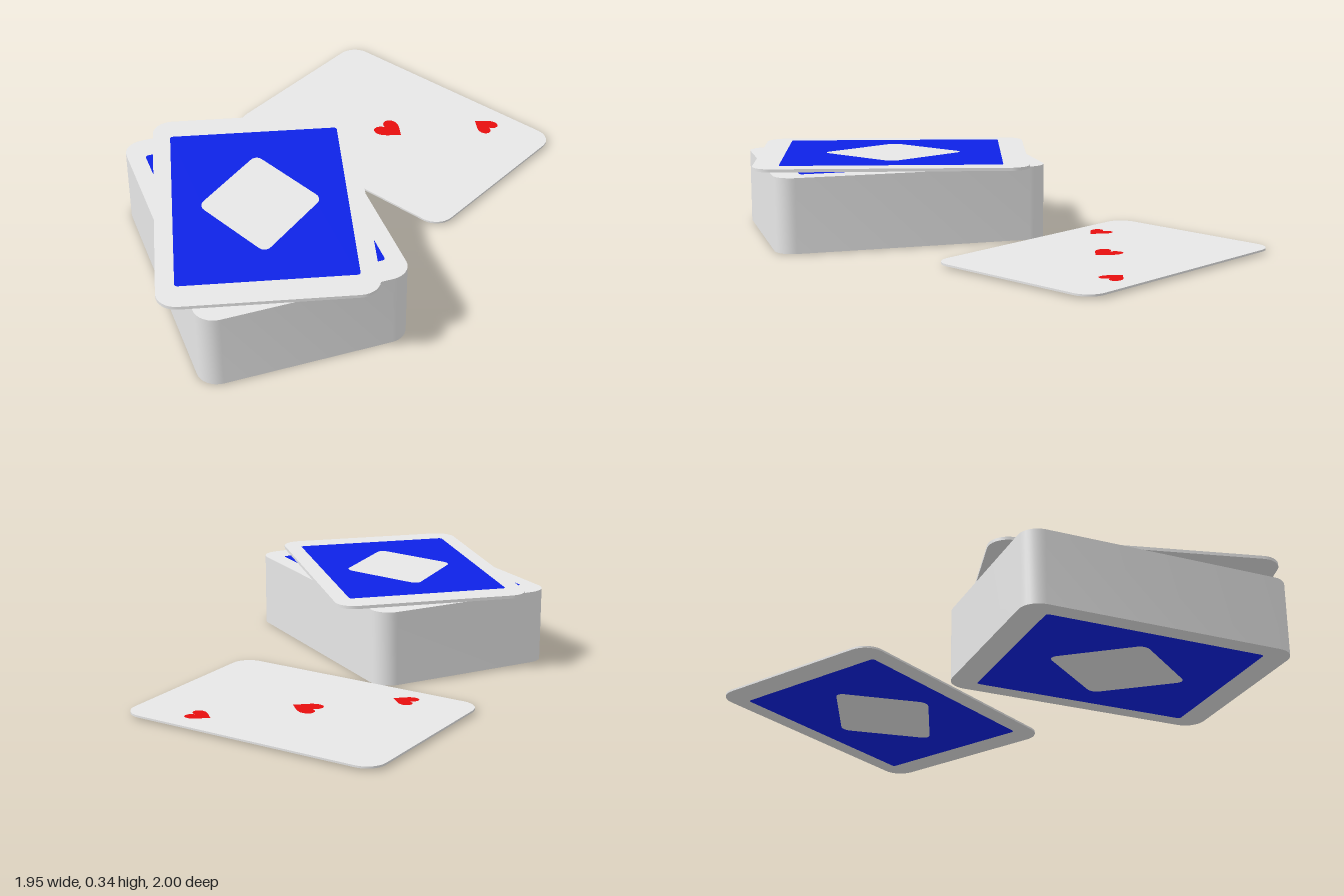
import * as THREE from 'three';
import { toCreasedNormals } from 'three/addons/utils/BufferGeometryUtils.js';

const CARD_W = 0.82, CARD_L = 1.15;
const LIFT = 0.002; // printed areas float this far off the paper

// Closed polygon with each corner softened by a radius-like inset
function roundedPolygon(points, inset, target = new THREE.Shape()) {
  const n = points.length;
  points.forEach(([x, y], i) => {
    const corner = new THREE.Vector2(x, y);
    const prev = new THREE.Vector2(...points[(i + n - 1) % n]);
    const next = new THREE.Vector2(...points[(i + 1) % n]);
    const a = corner.clone().add(prev.sub(corner).setLength(inset));
    const b = corner.clone().add(next.sub(corner).setLength(inset));
    if (i === 0) target.moveTo(a.x, a.y); else target.lineTo(a.x, a.y);
    // cubic handles approximate a circular arc at square corners
    const h1 = a.clone().lerp(corner, 0.55), h2 = b.clone().lerp(corner, 0.55);
    target.bezierCurveTo(h1.x, h1.y, h2.x, h2.y, b.x, b.y);
  });
  target.closePath();
  return target;
}

function rectangle(w, l, inset) {
  const x = w / 2, y = l / 2;
  return roundedPolygon([[-x, -y], [x, -y], [x, y], [-x, y]], inset);
}

function heartShape(w, h) {
  const s = new THREE.Shape();
  s.moveTo(0, -h * 0.5);
  s.bezierCurveTo(w * 0.2, -h * 0.25, w * 0.5, -h * 0.05, w * 0.5, h * 0.22);
  s.bezierCurveTo(w * 0.5, h * 0.58, w * 0.08, h * 0.6, 0, h * 0.25);
  s.bezierCurveTo(-w * 0.08, h * 0.6, -w * 0.5, h * 0.58, -w * 0.5, h * 0.22);
  s.bezierCurveTo(-w * 0.5, -h * 0.05, -w * 0.2, -h * 0.25, 0, -h * 0.5);
  return s;
}

export function createModel() {
  const paper = new THREE.MeshStandardMaterial({ color: 0xe7e7e7 });
  paper.name = 'paper white';
  const blue = new THREE.MeshStandardMaterial({ color: 0x0d22e7 });
  blue.name = 'back blue';
  const red = new THREE.MeshStandardMaterial({ color: 0xe70e0e });
  red.name = 'heart red';

  const mesh = (name, geometry, material, parent) => {
    const m = new THREE.Mesh(geometry, material);
    m.name = name;
    parent.add(m);
    return m;
  };

  // Rounded slab of paper lying flat between two heights
  const slab = (name, y0, y1, parent) => {
    const g = new THREE.ExtrudeGeometry(rectangle(CARD_W, CARD_L, 0.08),
      { depth: y1 - y0, bevelEnabled: false, curveSegments: 8 });
    g.rotateX(-Math.PI / 2);
    mesh(name, toCreasedNormals(g, 0.7), paper, parent).position.y = y0;
  };

  // Blue panel with a diamond cut out, facing up or down
  const backPanel = (name, y, up, parent) => {
    const shape = rectangle(0.68, 0.93, 0.012);
    shape.holes.push(roundedPolygon(
      [[0, 0.305], [0.24, 0], [0, -0.305], [-0.24, 0]], 0.035, new THREE.Path()));
    const g = new THREE.ShapeGeometry(shape, 6);
    g.rotateX(up ? -Math.PI / 2 : Math.PI / 2);
    mesh(name, g, blue, parent).position.y = y;
  };

  const place = (name, x, z, degrees) => {
    const g = new THREE.Group();
    g.name = name;
    g.position.set(x, 0, z);
    g.rotation.y = THREE.MathUtils.degToRad(degrees);
    return g;
  };

  const model = new THREE.Group();
  model.name = 'playingCards';

  // Stacked deck
  const deck = place('deck', -0.46, 0.36, 0);
  slab('deckBlock', LIFT, 0.315, deck);
  backPanel('deckTopPanel', 0.315 + LIFT, true, deck);
  backPanel('deckBottomPanel', 0, false, deck);

  // Turned card on top of the deck
  const topCard = place('topCard', -0.46, 0.36, -14);
  slab('topCardPaper', 0.32, 0.333, topCard);
  backPanel('topCardPanel', 0.333 + LIFT, true, topCard);

  // Loose card lying face up beside the deck
  const looseCard = place('looseCard', 0.36, -0.33, 30);
  slab('looseCardPaper', 0.009, 0.017, looseCard);
  backPanel('looseCardPanel', 0.009 - LIFT, false, looseCard);
  [
    ['cornerHeartBack', -0.29, -0.29, 0.1, 0],
    ['middleHeart', -0.01, -0.005, 0.12, 0],
    ['cornerHeartFront', 0.285, 0.29, 0.1, Math.PI],
  ].forEach(([name, x, z, size, turn]) => {
    const g = new THREE.ShapeGeometry(heartShape(size, size), 8);
    g.rotateX(-Math.PI / 2);
    const heart = mesh(name, g, red, looseCard);
    heart.position.set(x, 0.017 + LIFT, z);
    heart.rotation.y = turn;
  });

  model.add(deck, topCard, looseCard);
  return model;
}
